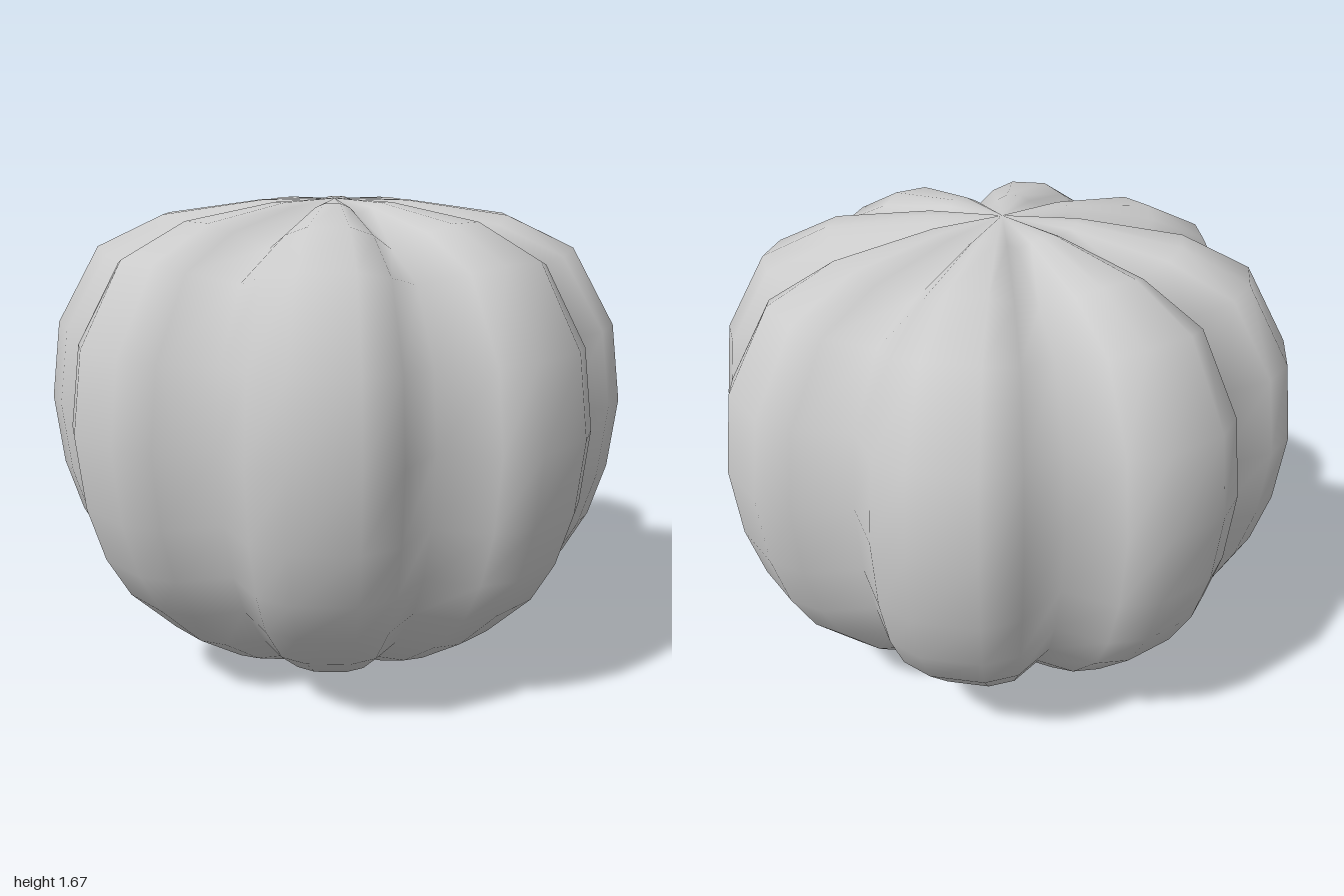
import * as THREE from 'three';

const LOBES = 8;
// One lobe from valley to valley: angle in degrees, radius, share of the valley's drop
const LOBE = [[0, 0.865, 1], [9.1, 0.998, 0.35], [16.5, 1.04, 0], [28.5, 1.04, 0], [35.9, 0.998, 0.35]];
// Rings from base to crown: scale, height, how far the valleys sink
const RINGS = [
  [0.35, 0, 0], [0.5, 0.07, 0], [0.68, 0.2, 0], [0.84, 0.37, 0], [0.92, 0.52, 0],
  [0.975, 0.71, 0], [1, 0.96, 0], [0.963, 1.235, 0.02], [0.815, 1.505, 0.06],
  [0.59, 1.615, 0.08], [0.25, 1.665, 0.04],
];

// Points of one lobed ring
function ringPoints([scale, height, sink]) {
  const points = [];
  for (let k = 0; k < LOBES; k++) {
    for (const [deg, r, drop] of LOBE) {
      const a = THREE.MathUtils.degToRad(deg + k * 360 / LOBES);
      points.push(new THREE.Vector3(Math.sin(a) * r * scale, height - sink * drop, Math.cos(a) * r * scale));
    }
  }
  return points;
}

// Skin rings together; an optional tip closes the last one
function skin(rings, tip) {
  const n = rings[0].length;
  const points = rings.flat();
  const index = [];
  for (let i = 0; i < rings.length - 1; i++) {
    for (let j = 0; j < n; j++) {
      const a = i * n + j, b = i * n + (j + 1) % n;
      index.push(a, b, b + n, a, b + n, a + n);
    }
  }
  const last = (rings.length - 1) * n;
  points.push(tip);
  for (let j = 0; j < n; j++) index.push(last + j, last + (j + 1) % n, points.length - 1);
  const geometry = new THREE.BufferGeometry().setFromPoints(points);
  geometry.setIndex(index);
  geometry.computeVertexNormals();
  return geometry;
}

export function createModel() {
  const group = new THREE.Group();
  group.name = 'pumpkin';
  const material = new THREE.MeshStandardMaterial({ color: 0xcccccc });

  // Ribbed body with the valleys meeting at the crown
  const rings = RINGS.map(ringPoints);
  const body = new THREE.Mesh(skin(rings, new THREE.Vector3(0, 1.67, 0)), material);
  body.name = 'ribbedBody';
  group.add(body);

  // Flat underside, facing down
  const base = new THREE.Mesh(skin([[...rings[0]].reverse()], new THREE.Vector3(0, 0, 0)), material);
  base.name = 'flatBase';
  group.add(base);

  return group;
}
